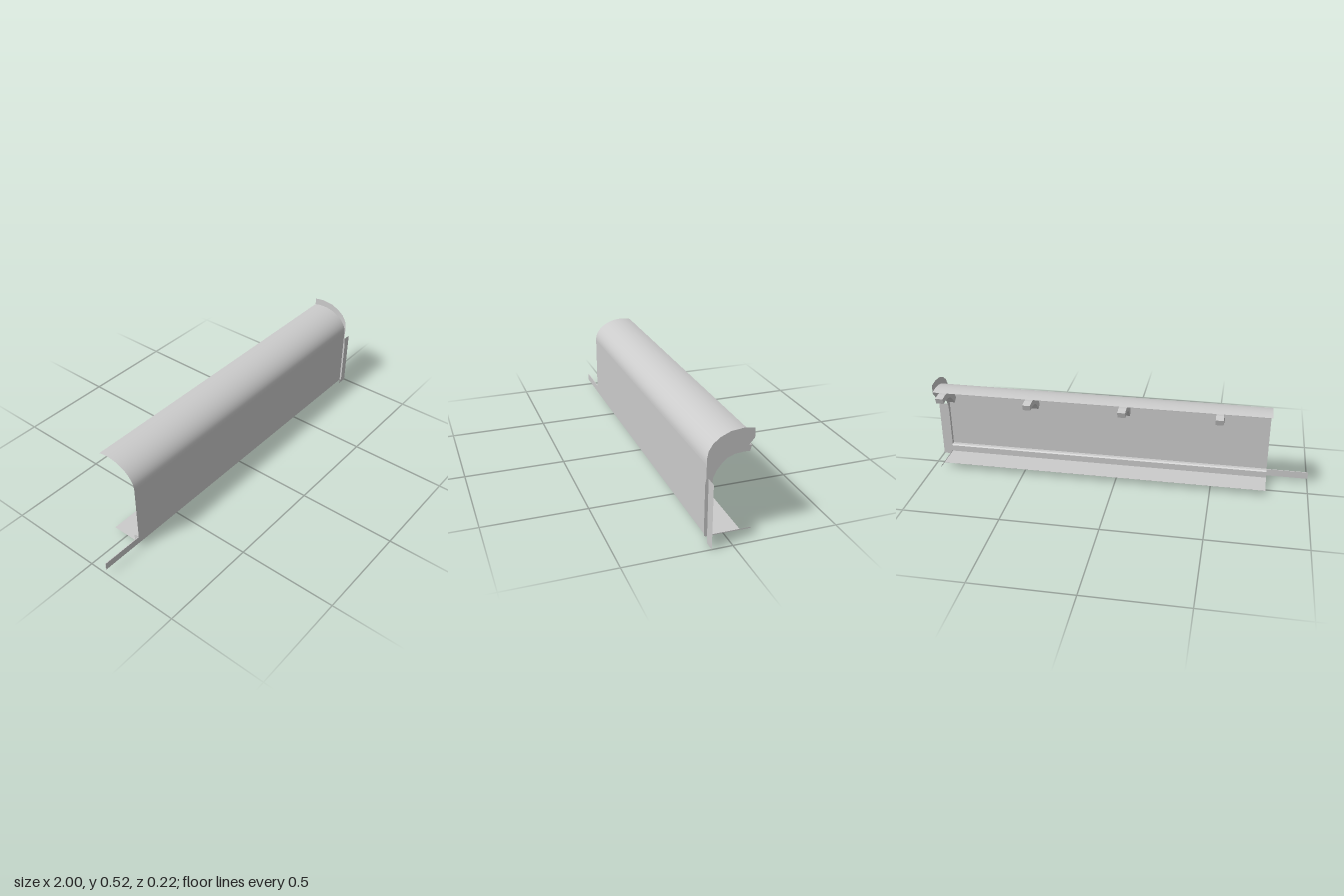
import * as THREE from 'three';

const mat = new THREE.MeshStandardMaterial({ color: 0xcccccc, side: THREE.DoubleSide });

function addMesh(group, name, geometry) {
  const mesh = new THREE.Mesh(geometry, mat);
  mesh.name = name;
  group.add(mesh);
  return mesh;
}

// Outlines are given as [z, y] pairs
const outline = (pts) => new THREE.Shape(pts.map(([z, y]) => new THREE.Vector2(z, y)));

// Flat sheet standing in the yz plane at x
function sideSheet(pts, x) {
  return new THREE.ShapeGeometry(outline(pts)).rotateY(-Math.PI / 2).translate(x, 0, 0);
}

// Solid with a yz outline, running from x0 to x1
function sideSolid(pts, x0, x1) {
  return new THREE.ExtrudeGeometry(outline(pts), { depth: x1 - x0, bevelEnabled: false })
    .rotateY(-Math.PI / 2).translate(x1, 0, 0);
}

// Open sheet swept along x from a [z, y] profile
function sweptSheet(pts, x0, x1) {
  const g = new THREE.PlaneGeometry(1, 1, 1, pts.length - 1);
  const p = g.attributes.position;
  pts.forEach(([z, y], i) => {
    p.setXYZ(2 * i, x0, y, z);
    p.setXYZ(2 * i + 1, x1, y, z);
  });
  g.computeVertexNormals();
  return g;
}

// Points on an ellipse, angles in degrees
function arc(cz, cy, rz, ry, a0, a1, n) {
  return Array.from({ length: n + 1 }, (_, i) => {
    const a = THREE.MathUtils.degToRad(a0 + (a1 - a0) * i / n);
    return [cz + rz * Math.cos(a), cy + ry * Math.sin(a)];
  });
}

function box(w, h, d, x, y, z) {
  return new THREE.BoxGeometry(w, h, d).translate(x, y, z);
}

export function createModel() {
  const model = new THREE.Group();
  const left = 0.94, right = -0.785;

  // Front panel curving back into the canopy
  const curve = arc(-0.055, 0.365, 0.155, 0.115, 0, 110.8, 20);
  addMesh(model, 'frontPanel', sweptSheet([[0.1, 0.365], [0.1, 0.03]], right, left));
  addMesh(model, 'canopy', sweptSheet(curve.reverse(), right, left));

  // Floor sheet behind the panel
  addMesh(model, 'floorSheet', sweptSheet([[-0.06, 0.031], [0.1, 0.031]], right, left));

  // Bottom rail inside, and its strip running on past the right end
  addMesh(model, 'bottomRail', sideSolid(
    [[0.099, 0.032], [0.072, 0.032], [0.072, 0.066], [0.08, 0.071], [0.099, 0.071]], right, left));
  addMesh(model, 'railExtension', box(0.215, 0.037, 0.004, -0.8925, 0.0505, 0.099));

  // Curved support ribs under the canopy
  const inner = [[0.061, 0.339], [0.039, 0.367], [0.011, 0.392], [-0.021, 0.404], [-0.057, 0.407], [-0.091, 0.402]];
  const outer = [[-0.1, 0.432], [-0.057, 0.438], [-0.015, 0.435], [0.025, 0.421], [0.06, 0.395], [0.088, 0.358]];
  for (const x of [0.915, 0.45, -0.04, -0.53]) {
    addMesh(model, 'supportRib', sideSolid([...inner, ...outer], x - 0.02, x + 0.02));
  }

  // Flat end frame: post, hooked top and thin foot
  addMesh(model, 'endFrame', sideSheet([
    [0.105, 0.03], [0.105, 0.4], [0.098, 0.434], [0.079, 0.465], [0.046, 0.491], [0, 0.511],
    [-0.057, 0.517], [-0.109, 0.51], [-0.109, 0.465], [-0.057, 0.407], [-0.021, 0.404],
    [0.011, 0.392], [0.039, 0.367], [0.061, 0.339], [0.075, 0.308], [0.08, 0.267],
    [0.08, 0.035], [-0.109, 0.035], [-0.109, 0.03],
  ], left));
  addMesh(model, 'endFrameLip', sideSheet(
    [[0.105, 0.034], [0.11, 0.034], [0.11, 0.28], [0.105, 0.31]], left));

  // Upright plate beside the left end
  addMesh(model, 'endPlate', new THREE.PlaneGeometry(0.055, 0.31).translate(0.9725, 0.155, 0.097));

  return model;
}
